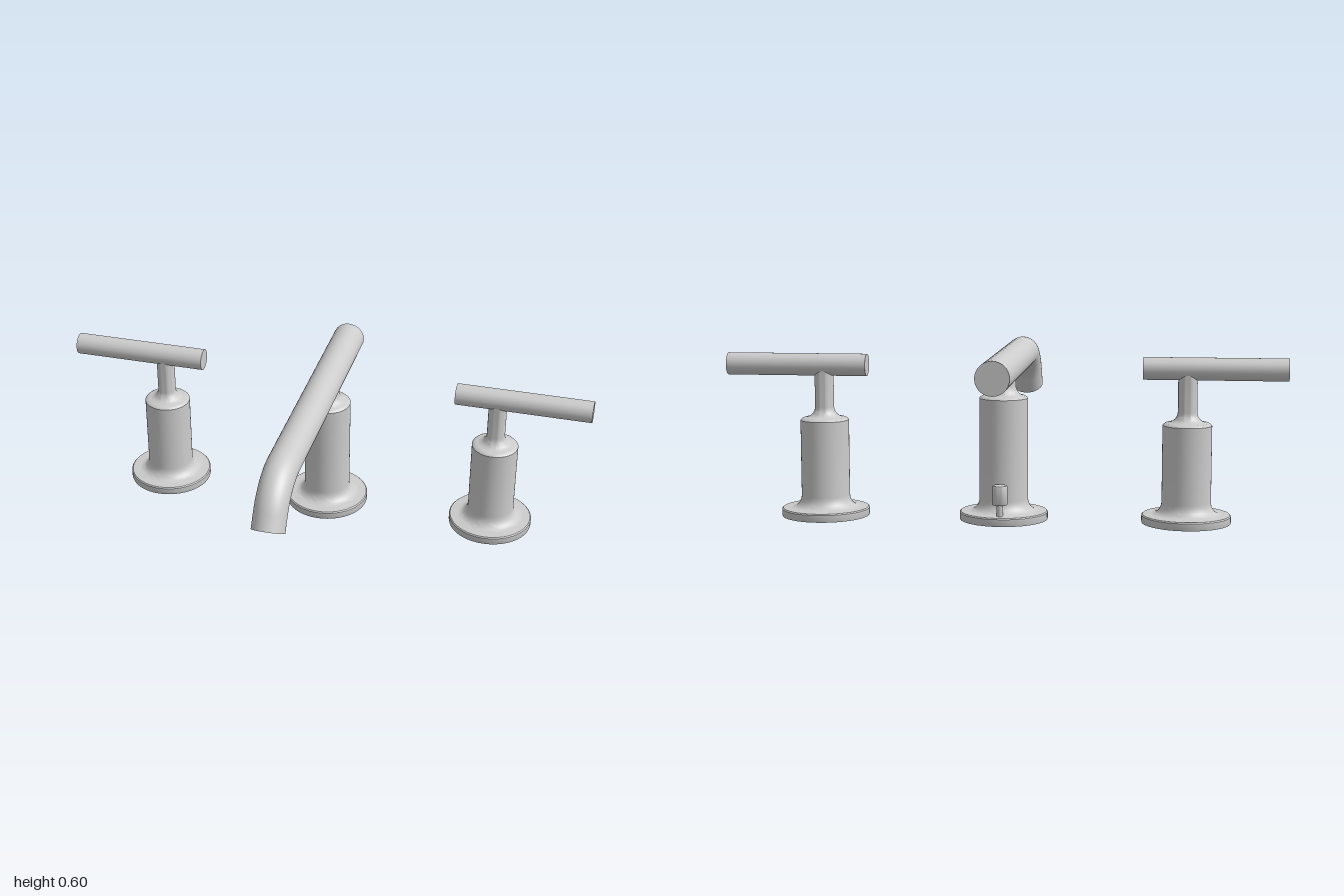
import * as THREE from 'three';
import { toCreasedNormals } from 'three/addons/utils/BufferGeometryUtils.js';

const material = new THREE.MeshStandardMaterial({ color: 0xcccccc });
const POST_Z = -0.265;

function addMesh(parent, name, geometry, x = 0, y = 0, z = 0) {
  const mesh = new THREE.Mesh(geometry, material);
  mesh.name = name;
  mesh.position.set(x, y, z);
  parent.add(mesh);
  return mesh;
}

function lathe(points, segments = 48) {
  const profile = points.map(([r, y]) => new THREE.Vector2(r, y));
  return toCreasedNormals(new THREE.LatheGeometry(profile, segments), 0.6);
}

// Quarter-ellipse cove between a wide lower edge and a narrow upper edge
function cove(r0, y0, r1, y1, steps = 7) {
  return Array.from({ length: steps + 1 }, (_, i) => {
    const a = (i / steps) * Math.PI / 2;
    return [r0 + (r1 - r0) * Math.sin(a), y1 + (y0 - y1) * Math.cos(a)];
  });
}

// Round flange, flared body, shoulder and neck turned as one piece
function postGeometry(shoulderY, neckRadius, neckY, topY) {
  return lathe([
    [0, 0], [0.157, 0], [0.158, 0.004], [0.158, 0.026], [0.154, 0.03],
    ...cove(0.125, 0.031, 0.087, 0.075),
    [0.087, shoulderY - 0.004], [0.083, shoulderY],
    ...cove(0.076, shoulderY + 0.004, neckRadius, neckY),
    [neckRadius, topY], [0, topY],
  ]);
}

// Centre line of the spout: straight run, downward bend, short straight tip
class SpoutCurve extends THREE.Curve {
  constructor() {
    super();
    this.start = -0.596;
    this.bendZ = 0.35;
    this.radius = 0.2;
    this.angle = 1.01;
    this.tip = 0.062;
  }
  getPoint(t, target = new THREE.Vector3()) {
    const run = this.bendZ - this.start;
    const arc = this.radius * this.angle;
    const s = t * (run + arc + this.tip);
    const a = THREE.MathUtils.clamp((s - run) / this.radius, 0, this.angle);
    const extra = Math.max(0, s - run - arc);
    return target.set(
      0,
      0.54 - this.radius * (1 - Math.cos(a)) - extra * Math.sin(a),
      this.start + Math.min(s, run) + this.radius * Math.sin(a) + extra * Math.cos(a),
    );
  }
}

function createSpout() {
  const spout = new THREE.Group();
  spout.name = 'spout';
  addMesh(spout, 'spoutPost', postGeometry(0.44, 0.043, 0.485, 0.51), 0, 0, POST_Z);

  const curve = new SpoutCurve();
  const radius = 0.06;
  addMesh(spout, 'spoutTube', new THREE.TubeGeometry(curve, 80, radius, 40));
  const back = addMesh(spout, 'spoutBackCap', new THREE.CircleGeometry(radius, 40), 0, 0.54, curve.start);
  back.rotation.y = Math.PI;

  // Outlet lip with a recessed aerator
  const outlet = addMesh(spout, 'outlet', lathe([
    [radius, 0], [0.05, 0], [0.048, -0.022], [0.034, -0.022],
    [0.032, -0.008], [0.026, -0.008], [0.024, -0.014], [0, -0.014],
  ], 40));
  outlet.position.copy(curve.getPoint(1));
  outlet.quaternion.setFromUnitVectors(new THREE.Vector3(0, 1, 0), curve.getTangent(1));

  // Drain lift rod behind the post
  addMesh(spout, 'liftRod', new THREE.CylinderGeometry(0.011, 0.011, 0.06, 20), 0, 0.055, -0.384);
  addMesh(spout, 'liftKnob', lathe([
    [0, 0.072], [0.025, 0.072], [0.027, 0.075], [0.027, 0.137], [0.025, 0.14], [0, 0.14],
  ], 24), 0, 0, -0.384);
  return spout;
}

function createHandle(side) {
  const handle = new THREE.Group();
  handle.name = side > 0 ? 'leftHandle' : 'rightHandle';
  handle.position.set(side * 0.65, 0, POST_Z);
  addMesh(handle, 'handlePost', postGeometry(0.352, 0.034, 0.395, 0.535));
  // Lever bar lies crosswise and reaches further outwards
  const bar = addMesh(handle, 'leverBar', new THREE.CylinderGeometry(0.04, 0.04, 0.507, 40), side * 0.0965, 0.547, 0);
  bar.rotation.z = Math.PI / 2;
  return handle;
}

export function createModel() {
  const model = new THREE.Group();
  model.name = 'widespreadFaucet';
  model.add(createSpout(), createHandle(1), createHandle(-1));
  return model;
}
